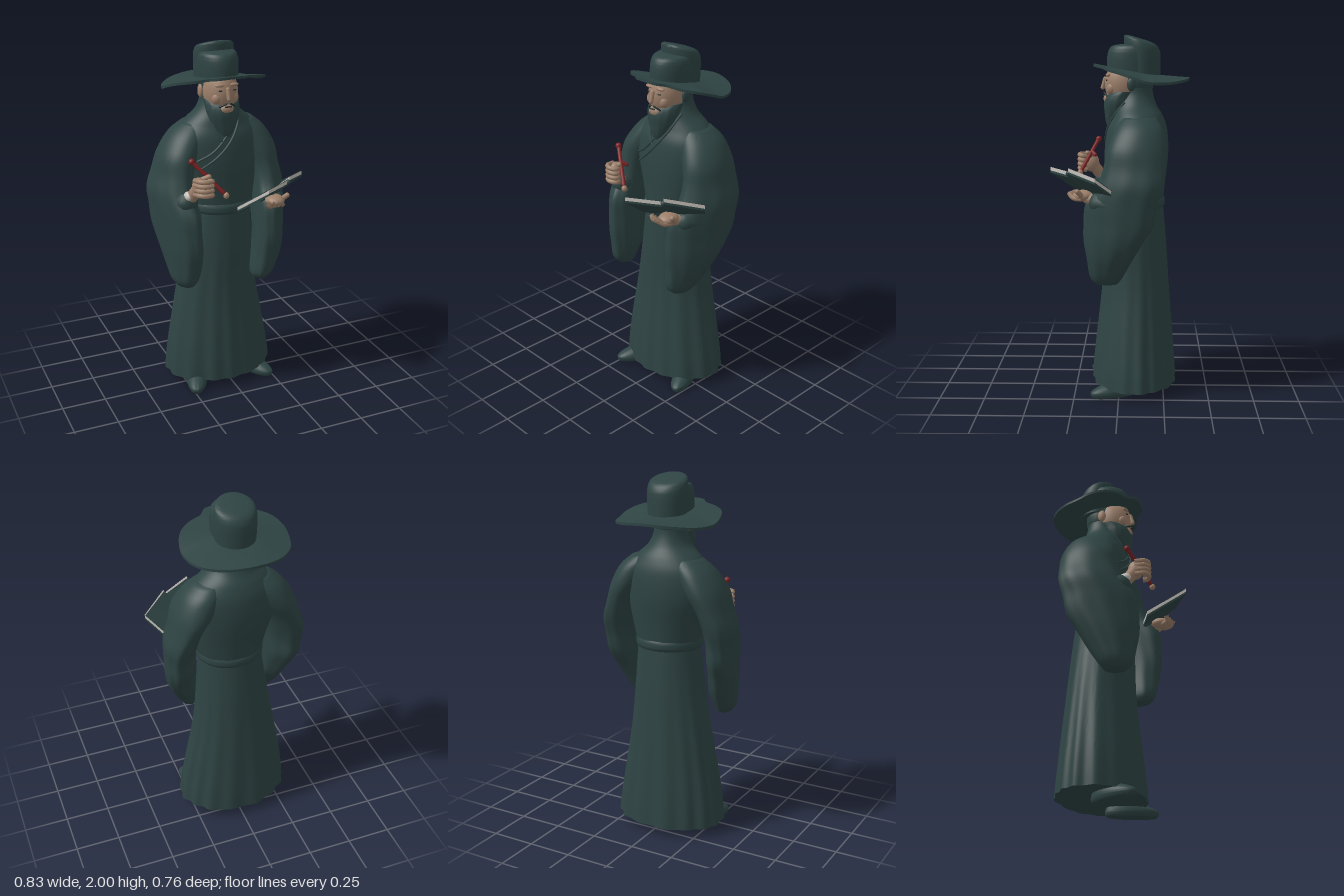
import * as THREE from 'three';
import { toCreasedNormals } from 'three/addons/utils/BufferGeometryUtils.js';

const V = (p) => new THREE.Vector3(...p);
const mat = (name, color) => {
  const m = new THREE.MeshStandardMaterial({ color });
  m.name = name;
  return m;
};

// Catmull-Rom blend of a list of equally long cross-section tuples
function sample(rings, t) {
  const f = t * (rings.length - 1), i = Math.min(Math.floor(f), rings.length - 2), u = f - i;
  const at = (k) => rings[Math.max(0, Math.min(rings.length - 1, k))];
  const [a, b, c, d] = [at(i - 1), at(i), at(i + 1), at(i + 2)];
  return b.map((_, k) => b[k] + 0.5 * u * (c[k] - a[k]
    + u * (2 * a[k] - 5 * b[k] + 4 * c[k] - d[k] + u * (3 * (b[k] - c[k]) + d[k] - a[k]))));
}

// Closed surface from elliptical rings [y, cx, cz, rx, rz, xShear, yTilt], bottom to top
function loft(rings, { seg = 48, rows = 40, fold = () => 1 } = {}) {
  const full = rings.map(([y, cx, cz, rx, rz, k = 0, tilt = 0]) => [y, cx, cz, rx, rz, k, tilt]);
  const pos = [], idx = [];
  for (let i = -1; i <= rows + 1; i++) {
    const cap = i < 0 || i > rows;
    const [y, cx, cz, rx, rz, k, tilt] = sample(full, Math.max(0, Math.min(1, i / rows)));
    for (let j = 0; j < seg; j++) {
      const a = (j / seg) * Math.PI * 2, s = cap ? 0 : fold(a, y), dz = rz * Math.cos(a) * s;
      pos.push(cx + rx * Math.sin(a) * s + k * dz, y + tilt * dz, cz + dz);
    }
  }
  // Cap rows need only one triangle per side
  for (let i = 0; i < rows + 2; i++) for (let j = 0; j < seg; j++) {
    const a = i * seg + j, b = i * seg + (j + 1) % seg;
    if (i > 0) idx.push(a, b, b + seg);
    if (i <= rows) idx.push(a, b + seg, a + seg);
    if (i > rows) continue;
  }
  const g = new THREE.BufferGeometry();
  g.setAttribute('position', new THREE.Float32BufferAttribute(pos, 3));
  g.setIndex(idx);
  return toCreasedNormals(g, 0.9);
}

// Thin plate on four corners given counter-clockwise from above
function slab(corners, drop, thick) {
  const pos = [drop, drop + thick].flatMap((d) => corners.flatMap(([x, y, z]) => [x, y - d, z]));
  const idx = [0, 1, 2, 0, 2, 3, 4, 6, 5, 4, 7, 6];
  for (let i = 0; i < 4; i++) {
    const j = (i + 1) % 4;
    idx.push(i, i + 4, j + 4, i, j + 4, j);
  }
  const g = new THREE.BufferGeometry();
  g.setAttribute('position', new THREE.Float32BufferAttribute(pos, 3));
  g.setIndex(idx);
  return toCreasedNormals(g, 0.5);
}

export function createModel() {
  const robe = mat('dark teal cloth', 0x2e4443), skin = mat('skin', 0x9c7f6a);
  const red = mat('red lacquer', 0x7c2224), paper = mat('paper', 0xc6c1bb);
  const dark = mat('dark hair', 0x222f2f);
  const model = new THREE.Group();
  const add = (name, geo, m) => {
    const mesh = new THREE.Mesh(geo, m);
    mesh.name = name;
    model.add(mesh);
    return mesh;
  };
  const ball = (name, m, p, r) => {
    const b = add(name, new THREE.SphereGeometry(1, 28, 20), m);
    b.position.set(...p);
    b.scale.set(...r);
  };
  const rod = (name, m, a, b, r) => {
    const d = V(b).sub(V(a)), c = add(name, new THREE.CapsuleGeometry(r, d.length(), 6, 14), m);
    c.position.copy(V(a)).addScaledVector(d, 0.5);
    c.quaternion.setFromUnitVectors(new THREE.Vector3(0, 1, 0), d.normalize());
  };
  const tube = (name, m, pts, r) =>
    add(name, new THREE.TubeGeometry(new THREE.CatmullRomCurve3(pts.map(V)), 24, r, 8), m);

  // Skirt with pleats, and the upper robe up to the neck
  const skirt = [[0.05, -0.015, -0.087, 0.318, 0.236], [0.15, -0.017, -0.087, 0.308, 0.23],
    [0.3, -0.02, -0.088, 0.285, 0.217], [0.6, -0.02, -0.092, 0.233, 0.19],
    [0.85, -0.01, -0.087, 0.2, 0.177], [1.08, 0, -0.08, 0.176, 0.162]];
  const pleat = (a, y) => 1 + Math.max(0, 1.02 - y) * (0.022 * Math.cos(a * 15 + Math.sin(a * 3))
    + 0.012 * Math.cos(a * 7 + 1));
  add('skirt', loft(skirt, { seg: 144, rows: 36, fold: pleat }), robe);
  const torso = [[1.06, 0, -0.08, 0.176, 0.162], [1.2, 0, -0.085, 0.21, 0.17],
    [1.35, -0.01, -0.093, 0.245, 0.178], [1.48, -0.01, -0.098, 0.25, 0.167],
    [1.56, -0.01, -0.1, 0.19, 0.14], [1.62, -0.012, -0.09, 0.125, 0.115],
    [1.68, -0.015, -0.09, 0.094, 0.095], [1.74, -0.015, -0.09, 0.088, 0.09]];
  add('upperRobe', loft(torso, { fold: (a, y) => 1 + 0.012 * Math.cos(a * 11) * Math.max(0, 1.5 - y) }), robe);
  add('belt', loft([[1.055, 0, -0.08, 0.178, 0.163], [1.07, 0, -0.08, 0.188, 0.172],
    [1.1, 0, -0.08, 0.188, 0.172], [1.115, 0, -0.08, 0.182, 0.164]], { rows: 10 }), robe);

  // Crossed lapels lying on the chest
  const chest = ([x, y]) => {
    const i = torso.findIndex((r) => r[0] >= y), a = torso[i - 1], b = torso[i];
    const [, cx, cz, rx, rz] = a.map((v, k) => v + (b[k] - v) * (y - a[0]) / (b[0] - a[0]));
    return [x, y, cz + 0.003 + rz * Math.sqrt(Math.max(0, 1 - ((x - cx) / rx) ** 2))];
  };
  const lapels = [[[0.085, 1.64], [0.06, 1.56], [0.0, 1.47], [-0.08, 1.39], [-0.17, 1.32]],
    [[0.06, 1.65], [0.03, 1.57], [-0.03, 1.49], [-0.1, 1.42], [-0.18, 1.37]],
    [[-0.1, 1.64], [-0.085, 1.57], [-0.06, 1.5], [-0.03, 1.46]]];
  for (const l of lapels) tube('lapel', robe, l.map(chest), 0.007);

  // Wide hanging sleeves: y, right centre x, left centre x, cz, rx, rz, shear
  const sleeve = [[0.675, 0.27, 0.185, 0.07, 0.045, 0.06, 0.1], [0.715, 0.275, 0.195, 0.07, 0.068, 0.09, 0.15],
    [0.8, 0.275, 0.23, 0.05, 0.085, 0.125, 0.2], [0.9, 0.285, 0.25, 0.03, 0.09, 0.16, 0.25],
    [1.0, 0.295, 0.26, 0, 0.092, 0.188, 0.25], [1.1, 0.3, 0.265, -0.015, 0.094, 0.192, 0.25],
    [1.2, 0.305, 0.27, -0.06, 0.1, 0.175, 0.2], [1.3, 0.28, 0.25, -0.085, 0.097, 0.165, 0.1],
    [1.4, 0.24, 0.215, -0.1, 0.11, 0.16, 0], [1.5, 0.18, 0.165, -0.11, 0.105, 0.13, 0],
    [1.56, 0.13, 0.12, -0.11, 0.08, 0.09, 0]];
  const crease = (a, y) => 1 + 0.02 * Math.cos(a * 9 + y * 5) * Math.min(1, Math.max(0, 1.45 - y) * 3);
  for (const s of [-1, 1]) {
    const rings = sleeve.map(([y, r, l, cz, rx, rz, k]) =>
      [s > 0 && y < 0.75 ? y - 0.025 : y, s > 0 ? l : -r, cz, rx, rz, -s * k]);
    add(s > 0 ? 'leftSleeve' : 'rightSleeve', loft(rings, { seg: 60, fold: crease }), robe);
  }
  rod('rightCuff', robe, [-0.32, 1.15, -0.02], [-0.265, 1.17, 0.09], 0.062);
  rod('leftCuff', robe, [0.3, 1.1, -0.02], [0.25, 1.11, 0.1], 0.06);
  ball('rightCuffLining', paper, [-0.268, 1.215, 0.122], [0.022, 0.025, 0.033]);

  // Right hand closed around the brush
  rod('rightWrist', skin, [-0.255, 1.19, 0.11], [-0.23, 1.26, 0.16], 0.033);
  ball('rightPalm', skin, [-0.225, 1.275, 0.17], [0.036, 0.056, 0.045]);
  for (let i = 0; i < 4; i++) {
    const y = 1.24 + i * 0.026;
    tube('rightFinger', skin, [[-0.25, y, 0.17], [-0.235, y + 0.005, 0.222],
      [-0.2, y + 0.004, 0.238], [-0.168, y, 0.22], [-0.178, y - 0.005, 0.195]], 0.0135);
  }
  rod('rightThumb', skin, [-0.215, 1.31, 0.16], [-0.175, 1.335, 0.19], 0.014);
  rod('brushHandle', red, [-0.245, 1.405, 0.13], [-0.105, 1.245, 0.22], 0.011);
  ball('brushKnob', red, [-0.248, 1.408, 0.128], [0.017, 0.018, 0.017]);
  rod('brushSpur', red, [-0.19, 1.342, 0.165], [-0.165, 1.325, 0.145], 0.011);
  ball('brushTip', skin, [-0.092, 1.23, 0.228], [0.016, 0.018, 0.016]);

  // Left hand under the book
  rod('leftWrist', skin, [0.25, 1.12, 0.11], [0.225, 1.135, 0.17], 0.032);
  ball('leftPalm', skin, [0.215, 1.145, 0.19], [0.052, 0.032, 0.06]);
  for (let i = 0; i < 4; i++) {
    tube('leftFinger', skin, [[0.25 - i * 0.02, 1.13, 0.2], [0.235 - i * 0.025, 1.135, 0.245],
      [0.215 - i * 0.025, 1.16, 0.268 - i * 0.008]], 0.0135);
  }
  rod('leftThumb', skin, [0.25, 1.14, 0.19], [0.275, 1.175, 0.22], 0.014);

  // Open book: cover, page block and dark page face on each half
  const halves = [[[0.0, 1.13, 0.17], [0.085, 1.285, 0.38], [0.25, 1.28, 0.27], [0.165, 1.15, 0.1]],
    [[0.175, 1.155, 0.13], [0.26, 1.3, 0.27], [0.415, 1.265, 0.12], [0.335, 1.19, 0.035]]];
  const inset = (a, b) => a.map((v, k) => v + (b[k] - v) * 0.05);
  for (const c of halves) {
    add('pageFace', slab([c[0], inset(c[1], c[0]), inset(c[2], c[3]), c[3]], -0.003, 0.005), robe);
    add('pageBlock', slab(c, 0, 0.02), paper);
    add('bookCover', slab(c, 0.02, 0.012), robe);
  }
  rod('bookSpine', robe, [0.17, 1.13, 0.115], [0.255, 1.27, 0.268], 0.014);

  // Head, face and beard
  ball('hair', robe, [-0.016, 1.76, -0.09], [0.096, 0.125, 0.1]);
  ball('face', skin, [-0.018, 1.735, -0.025], [0.093, 0.13, 0.108]);
  rod('nose', skin, [-0.018, 1.765, 0.08], [-0.018, 1.715, 0.094], 0.012);
  add('beard', loft([[1.47, -0.015, 0.04, 0.015, 0.015], [1.52, -0.015, 0.03, 0.045, 0.045],
    [1.58, -0.015, 0.015, 0.077, 0.068], [1.63, -0.015, 0.005, 0.092, 0.082],
    [1.67, -0.015, -0.01, 0.095, 0.085], [1.695, -0.015, -0.03, 0.096, 0.075]],
  { rows: 20, fold: (a) => 1 + 0.015 * Math.cos(a * 13) }), robe);
  ball('chin', skin, [-0.018, 1.655, 0.06], [0.042, 0.03, 0.03]);
  rod('mouth', dark, [-0.035, 1.672, 0.087], [-0.001, 1.672, 0.087], 0.004);
  for (const s of [-1, 1]) {
    const x = -0.018 + s * 0.038;
    ball('cheek', skin, [-0.018 + s * 0.046, 1.712, 0.04], [0.03, 0.035, 0.03]);
    ball('eye', dark, [x, 1.757, 0.07], [0.014, 0.004, 0.006]);
    ball('brow', skin, [x, 1.785, 0.063], [0.03, 0.01, 0.014]);
    ball('ear', s > 0 ? robe : skin, [-0.018 + s * 0.1, 1.735, -0.065], [0.014, 0.036, 0.024]);
    rod('moustache', dark, [-0.018 + s * 0.012, 1.688, 0.086], [-0.018 + s * 0.042, 1.67, 0.068], 0.005);
  }

  // Hat: two-step crown and a brim that dips toward the back
  add('hatFrontCrown', loft([[1.8, -0.016, -0.075, 0.108, 0.146, 0, 0.15], [1.87, -0.016, -0.075, 0.11, 0.145, 0, 0.05],
    [1.92, -0.016, -0.075, 0.106, 0.135], [1.945, -0.016, -0.075, 0.09, 0.11], [1.955, -0.016, -0.075, 0.03, 0.04]],
  { rows: 24 }), robe);
  add('hatBackCrown', loft([[1.77, -0.016, -0.12, 0.108, 0.105], [1.88, -0.016, -0.125, 0.112, 0.1],
    [1.945, -0.016, -0.12, 0.11, 0.098, 0, 0.25], [1.975, -0.016, -0.112, 0.095, 0.085, 0, 0.3],
    [1.985, -0.016, -0.105, 0.04, 0.05, 0, 0.3]], { rows: 24 }), robe);
  const half = [[0, 1.84, 0.143], [0.075, 1.836, 0.133], [0.112, 1.827, 0.092], [0.19, 1.815, 0.06],
    [0.255, 1.8, 0], [0.287, 1.775, -0.08], [0.287, 1.752, -0.145], [0.25, 1.745, -0.25],
    [0.15, 1.755, -0.345], [0, 1.765, -0.385]];
  const mirrored = half.slice(1, -1).reverse().map(([x, y, z]) => [-x, y, z]);
  const outline = new THREE.CatmullRomCurve3([...half, ...mirrored].map(V), true);
  const seg = 96, bands = 6, bp = [], bi = [];
  for (let i = 0; i <= 2 * bands + 1; i++) for (let j = 0; j < seg; j++) {
    const under = i <= bands, u = (under ? i : 2 * bands + 1 - i) / bands;
    const o = outline.getPoint(j / seg), d = Math.hypot(o.x / 0.1, (o.z + 0.08) / 0.135);
    const ix = o.x / d, iz = (o.z + 0.08) / d - 0.08, iy = 1.812 + 0.16 * iz;
    bp.push(-0.018 + ix + (o.x - ix) * u, iy + (o.y - iy) * u + (under ? -0.007 : 0.007), iz + (o.z - iz) * u);
    const a = i * seg + j, b = i * seg + (j + 1) % seg;
    if (i <= 2 * bands) bi.push(a, b, b + seg, a, b + seg, a + seg);
  }
  const brim = new THREE.BufferGeometry();
  brim.setAttribute('position', new THREE.Float32BufferAttribute(bp, 3));
  brim.setIndex(bi);
  add('hatBrim', toCreasedNormals(brim, 0.9), robe);

  // Splayed shoes
  for (const s of [-1, 1]) {
    const shoe = add('shoe', loft([[0, 0, 0, 0.05, 0.135], [0.015, 0, 0, 0.058, 0.145], [0.035, 0, 0, 0.058, 0.143],
      [0.06, 0, -0.02, 0.05, 0.115], [0.085, 0, -0.05, 0.035, 0.07]], { rows: 16 }), robe);
    shoe.position.set(s < 0 ? -0.195 : 0.175, 0, s < 0 ? 0.035 : 0.02);
    shoe.rotation.y = s * 0.4;
  }
  return model;
}
